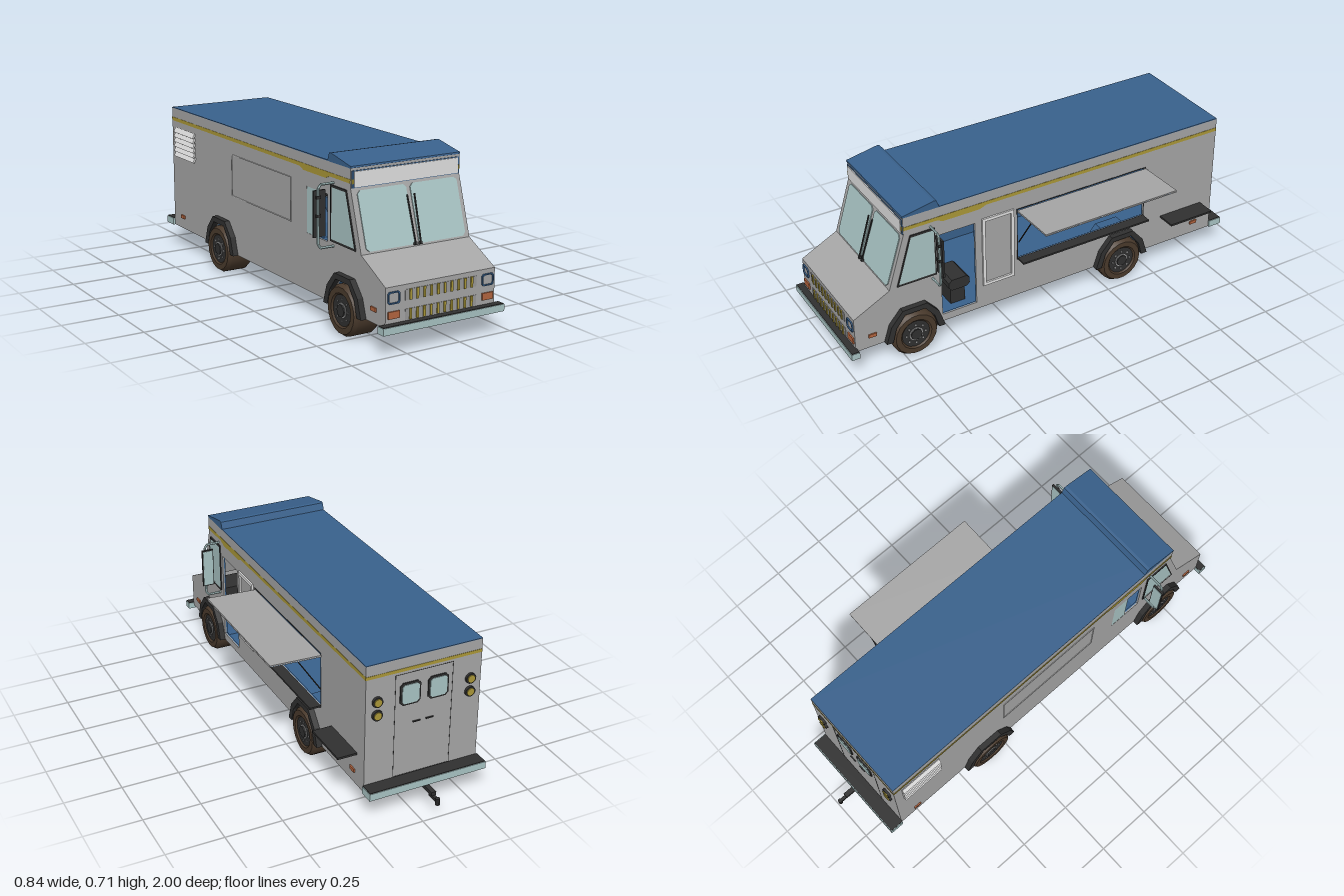
import * as THREE from 'three';
import { toCreasedNormals } from 'three/addons/utils/BufferGeometryUtils.js';

const mat = (name, color) => Object.assign(new THREE.MeshStandardMaterial({ color }), { name });

export function createModel() {
  const grey = mat('body grey', 0xa6a6a6), pale = mat('pale grey', 0xe2e2e2), blue = mat('blue', 0x39618c);
  const glass = mat('pale teal', 0xa9c4c4), black = mat('black', 0x303030), yellow = mat('yellow', 0xab9838);
  const orange = mat('orange', 0xb4653f), brown = mat('tyre brown', 0x4a3a2c), steel = mat('steel grey', 0x989898);

  const root = new THREE.Group();
  const L = -0.33, R = 0.19, C = -0.07;           // body sides and centre line
  const B = -0.85, Y0 = 0.105, Y1 = 0.68;         // body back, bottom and top
  const mirrorX = x => 2 * C - x;

  const add = (name, geo, m, parent = root) => {
    const mesh = new THREE.Mesh(geo, m);
    mesh.name = name;
    parent.add(mesh);
    return mesh;
  };
  const box = (name, m, x0, x1, y0, y1, z0, z1, parent) => {
    const mesh = add(name, new THREE.BoxGeometry(x1 - x0, y1 - y0, z1 - z0), m, parent);
    mesh.position.set((x0 + x1) / 2, (y0 + y1) / 2, (z0 + z1) / 2);
    return mesh;
  };
  const bar = (name, m, a, b, r, sides = 8, r2 = r) => {
    const p = new THREE.Vector3(...a), q = new THREE.Vector3(...b), d = q.clone().sub(p);
    const mesh = add(name, toCreasedNormals(new THREE.CylinderGeometry(r2, r, d.length(), sides), 0.9), m);
    mesh.position.copy(p).add(q).multiplyScalar(0.5);
    mesh.quaternion.setFromUnitVectors(new THREE.Vector3(0, 1, 0), d.normalize());
    return mesh;
  };
  const plate = (pts, depth, holes = []) => {
    const s = new THREE.Shape(pts.map(p => new THREE.Vector2(...p)));
    s.holes = holes.map(h => new THREE.Path(h.map(p => new THREE.Vector2(...p))));
    return new THREE.ExtrudeGeometry(s, { depth, bevelEnabled: false });
  };
  // a (z, y) outline swept from x0 to x1
  const sideways = (name, m, pts, x0, x1, holes) =>
    add(name, plate(pts, x1 - x0, holes).rotateY(-Math.PI / 2).translate(x1, 0, 0), m);
  const rect = (a, b, c, d) => [[a, c], [b, c], [b, d], [a, d]];
  const cut = (a, b, c, d, k) => [[a + k, c], [b - k, c], [b, c + k], [b, d - k], [b - k, d], [a + k, d], [a, d - k], [a, c + k]];
  const scaleAbout = (pts, s) => {
    const cx = pts.reduce((t, p) => t + p[0], 0) / pts.length, cy = pts.reduce((t, p) => t + p[1], 0) / pts.length;
    return pts.map(([x, y]) => [cx + (x - cx) * s, cy + (y - cy) * s]);
  };

  // body shell
  const axles = [-0.342, 0.7];
  const archIn = c => [[-0.108, Y0], [-0.09, 0.17], [-0.047, 0.224], [0.047, 0.224], [0.09, 0.17], [0.108, Y0]].map(([z, y]) => [c + z, y]);
  const archOut = c => [[-0.138, Y0], [-0.112, 0.185], [-0.057, 0.248], [0.057, 0.248], [0.112, 0.185], [0.138, Y0]].map(([z, y]) => [c + z, y]);
  const nose = [[0.968, Y0], [0.968, 0.267], [0.8, 0.353], [0.722, 0.6], [0.722, Y1]];
  const noseBack = [[0.95, Y0], [0.95, 0.258], [0.783, 0.345], [0.707, 0.6], [0.707, Y1]];
  const wall = (front, back) => [[back, Y0], ...archIn(axles[0]), ...archIn(axles[1]), ...front, [back, Y1]];
  const outer = wall(nose, B), inner = wall(noseBack, B + 0.008);
  const hatch = rect(-0.465, 0.19, 0.295, 0.545), doorway = rect(0.395, 0.56, 0.14, 0.545);
  const cabHole = rect(0.395, 0.555, 0.35, 0.545);
  sideways('leftWall', grey, outer, R - 0.006, R, [hatch, doorway]);
  sideways('leftLining', blue, inner, R - 0.012, R - 0.006, [hatch, doorway]);
  sideways('rightWall', grey, outer, L, L + 0.006, [cabHole]);
  sideways('rightLining', blue, inner, L + 0.006, L + 0.012, [cabHole]);
  sideways('frontShell', grey, [...nose, ...noseBack.slice().reverse()], L + 0.006, R - 0.006);
  box('rearWall', grey, L + 0.006, R - 0.006, Y0, Y1, B, B + 0.008);
  box('rearLining', blue, L + 0.012, R - 0.012, 0.115, 0.67, B + 0.008, B + 0.014);
  box('roof', blue, L, R, Y1 - 0.001, Y1 + 0.003, B, 0.722);
  sideways('roofVisor', blue, [[0.726, 0.681], [0.724, 0.688], [0.58, 0.716], [0.567, 0.714], [0.555, 0.681]], L - 0.001, R);

  // floor narrows between the wheel wells
  [[B + 0.008, -0.45, 0], [-0.45, -0.234, 1], [-0.234, 0.592, 0], [0.592, 0.808, 1], [0.808, 0.955, 0]].forEach(([a, b, n]) =>
    box('floor', blue, L + 0.008 + n * 0.105, R - 0.008 - n * 0.105, 0.115, 0.122, a, b));

  // fenders, wells and wheels
  const tyre = toCreasedNormals(new THREE.LatheGeometry([[0.058, -0.05], [0.072, -0.0625], [0.096, -0.0625], [0.107, -0.046],
    [0.107, 0.046], [0.096, 0.0625], [0.072, 0.0625], [0.058, 0.05], [0.058, -0.05]].map(p => new THREE.Vector2(...p)), 18), 0.5).rotateZ(Math.PI / 2);
  for (const c of axles) for (const s of [1, -1]) {
    const xs = (a, b) => s > 0 ? [a, b] : [mirrorX(b), mirrorX(a)];
    const ring = [...archOut(c), ...archIn(c).reverse()];
    sideways('fender', black, ring, ...xs(R - 0.002, R + 0.025));
    sideways('wheelWell', blue, ring, ...xs(0.085, R - 0.012));
    sideways('wellEnd', blue, archOut(c), ...xs(0.077, 0.085));
    const w = new THREE.Group();
    w.name = 'wheel';
    w.position.set(C - 0.002 + s * 0.225, 0.107, c);
    w.rotation.y = s > 0 ? 0 : Math.PI;
    root.add(w);
    add('tyre', tyre, brown, w);
    const disc = (n, m, r, x0, x1, k = 18) =>
      add(n, toCreasedNormals(new THREE.CylinderGeometry(r, r, x1 - x0, k), 0.6).rotateZ(Math.PI / 2).translate((x0 + x1) / 2, 0, 0), m, w);
    disc('rim', black, 0.066, -0.054, 0.056);
    disc('hub', steel, 0.032, 0.056, 0.059, 12);
    disc('hubCap', black, 0.026, 0.059, 0.065, 10);
    for (let i = 0; i < 8; i++) {
      const a = i * Math.PI / 4;
      const nut = add('wheelNut', new THREE.BoxGeometry(0.006, 0.007, 0.007), steel, w);
      nut.position.set(0.056, Math.cos(a) * 0.045, Math.sin(a) * 0.045);
    }
  }

  // windscreen and wipers, tilted with the front
  const screen = new THREE.Group();
  screen.name = 'windscreen';
  screen.position.set(C, 0.353, 0.8);
  screen.rotation.x = -Math.atan2(0.078, 0.247);
  root.add(screen);
  for (const s of [1, -1]) {
    const a = s > 0 ? 0.012 : -0.235, b = s > 0 ? 0.24 : -0.007;
    add('windscreenPane', plate(cut(a, b, 0.008, 0.248, 0.013), 0.004), glass, screen);
    const wiper = box('wiper', black, -0.0025, 0.0025, 0, 0.195, 0.008, 0.013, screen);
    wiper.position.set(s * 0.015 + 0.004, 0.108, 0.011);
    wiper.rotation.z = s > 0 ? -0.03 : 0.02;
    box('wiperPivot', black, s * 0.012 - 0.001, s * 0.012 + 0.009, 0.004, 0.016, 0, 0.014, screen);
  }

  // sign board, lamps, grille and bumpers
  box('signBorder', blue, -0.326, 0.186, 0.601, 0.67, 0.72, 0.725);
  box('signBoard', pale, -0.317, 0.178, 0.604, 0.667, 0.722, 0.729);
  for (const s of [1, -1]) {
    const x = C + s * 0.2235, e = C + s * 0.252;
    box('stripeEnd', yellow, e - 0.004, e + 0.004, 0.618, 0.636, 0.722, 0.727);
    add('headlampFrame', plate(cut(x - 0.028, x + 0.028, 0.199, 0.248, 0.007), 0.007, [cut(x - 0.023, x + 0.023, 0.204, 0.243, 0.006)]).translate(0, 0, 0.967), blue);
    box('turnSignal', orange, x - 0.026, x + 0.026, 0.141, 0.17, 0.966, 0.974);
  }
  for (const y of [0.204, 0.126]) {
    box('grillePanel', steel, -0.24, 0.098, y, y + 0.043, 0.966, 0.97);
    for (let i = 0; i < 10; i++) {
      const x = -0.216 + i * 0.0323;
      box('grilleBar', yellow, x - 0.005, x + 0.005, y, y + 0.043, 0.966, 0.974);
    }
  }
  box('frontBumper', glass, -0.36, 0.218, 0.09, 0.119, 0.962, 1);
  box('frontBumperTop', black, -0.357, 0.215, 0.118, 0.122, 0.964, 0.997);
  box('rearBumper', glass, -0.34, 0.197, 0.104, 0.136, -0.915, B);
  box('rearBumperTop', black, -0.337, 0.194, 0.135, 0.139, -0.912, B);

  // stripes, cab windows, markers and mirrors on both sides
  const stripe = [[B, 0.62], [0.34, 0.62], [0.37, 0.608], [0.54, 0.608], [0.57, 0.62], [0.722, 0.62], [0.722, 0.636], [B, 0.636]];
  const pane = [[0.765, 0.36], [0.582, 0.36], [0.582, 0.59], [0.695, 0.59]];
  for (const s of [1, -1]) {
    const xs = (a, b) => s > 0 ? [a, b] : [mirrorX(b), mirrorX(a)];
    sideways('sideStripe', yellow, stripe, ...xs(R - 0.001, R + 0.0015));
    sideways('cabWindowFrame', black, pane, ...xs(R - 0.001, R + 0.005), [scaleAbout(pane, 0.92)]);
    sideways('cabWindow', glass, scaleAbout(pane, 0.93), ...xs(R - 0.001, R + 0.003));
    for (const z of [0.89, -0.755]) box('sideMarker', orange, ...xs(R - 0.001, R + 0.006), 0.155, 0.171, z - 0.018, z + 0.018);
    const path = [[0.188, 0.6], [0.25, 0.6], [0.262, 0.585], [0.262, 0.36], [0.25, 0.343], [0.188, 0.343]]
      .map(([x, y]) => [s > 0 ? x : mirrorX(x), y, 0.6]);
    for (let i = 0; i < 5; i++) bar('mirrorBracket', glass, path[i], path[i + 1], 0.0055, 6);
    const y0 = s > 0 ? 0.397 : 0.387;
    box('mirror', black, ...xs(0.226, 0.28), y0, 0.577, 0.587, 0.596);
    box('mirrorGlass', glass, ...xs(0.23, 0.276), y0 + 0.005, 0.572, 0.585, 0.588);
    for (const y of [0.475, 0.55]) box('mirrorClamp', black, ...xs(0.252, 0.272), y - 0.006, y + 0.006, 0.594, 0.607);
  }
  box('rightSlidingPane', glass, L + 0.001, L + 0.009, 0.35, 0.545, 0.395, 0.475);

  // serving hatch: grey outside, blue lining and a thin frame beneath
  const awning = new THREE.Group();
  awning.name = 'awning';
  awning.position.set(R, 0.536, 0);
  awning.rotation.z = 0.035;
  root.add(awning);
  box('awningPanel', grey, 0, 0.229, 0, 0.004, -0.47, 0.19, awning);
  box('awningLining', blue, 0.001, 0.228, -0.0015, 0, -0.469, 0.189, awning);
  for (const z of [-0.463, 0.183]) {
    box('awningRib', grey, 0, 0.229, -0.005, -0.001, z - 0.006, z + 0.006, awning);
    bar('awningStrut', black, [R + 0.002, 0.38, z * 1.01], [0.295, 0.536, z], 0.003, 6);
  }
  for (const x of [0.006, 0.223]) box('awningRail', grey, x - 0.006, x + 0.006, -0.005, -0.001, -0.469, 0.189, awning);
  sideways('hatchFrame', black, rect(-0.468, 0.193, 0.292, 0.548), R - 0.001, R + 0.002, [hatch]);
  box('servingCounter', black, R, 0.24, 0.291, 0.299, -0.465, 0.19);
  box('sideShelf', black, R, 0.277, 0.249, 0.258, -0.79, -0.565);
  sideways('slidingDoorFrame', pale, rect(0.21, 0.363, 0.218, 0.556), R, R + 0.008, [rect(0.224, 0.349, 0.232, 0.542)]);

  // right side panel and louvres
  sideways('sidePanelSeam', pale, rect(-0.25, 0.27, 0.37, 0.56), L - 0.003, L, [rect(-0.247, 0.267, 0.373, 0.557)]);
  for (let i = 0; i < 6; i++) {
    const slat = box('louvre', pale, -0.004, 0.004, -0.013, 0.013, -0.1, 0.1);
    slat.position.set(L - 0.006, 0.465 + i * 0.023, -0.71);
    slat.rotation.z = -0.45;
  }

  // rear doors, windows and lamps
  const back = (name, m, pts, depth, holes) => add(name, plate(pts, depth, holes).translate(0, 0, B - depth), m);
  back('rearDoorSeam', black, rect(-0.2, 0.06, 0.14, 0.61), 0.001, [rect(-0.198, 0.058, 0.142, 0.608)]);
  box('rearStripe', yellow, L, R, 0.621, 0.635, B - 0.0015, B + 0.001);
  for (const s of [1, -1]) {
    const x = C + s * 0.063, lx = C + s * 0.21;
    back('rearWindowFrame', black, cut(x - 0.046, x + 0.046, 0.467, 0.568, 0.013), 0.005);
    back('rearWindow', glass, cut(x - 0.038, x + 0.038, 0.475, 0.56, 0.01), 0.008);
    box('rearHandle', black, C + s * 0.03 - 0.017, C + s * 0.03 + 0.017, 0.378, 0.383, B - 0.005, B);
    for (const y of [0.455, 0.515]) {
      bar('rearLampRim', black, [lx, y, B], [lx, y, B - 0.011], 0.023, 14);
      bar('rearLamp', yellow, [lx, y, B - 0.005], [lx, y, B - 0.015], 0.017, 14);
    }
  }

  // cab interior
  box('seatBase', black, 0.03, 0.12, 0.12, 0.21, 0.415, 0.485);
  add('seatCushion', plate(cut(0.4, 0.5, 0.205, 0.258, 0.014), 0.13).rotateY(-Math.PI / 2).translate(0.14, 0, 0), black);
  bar('steeringColumn', black, [0.07, 0.28, 0.66], [0.07, 0.335, 0.545], 0.01);
  const steering = add('steeringWheel', new THREE.TorusGeometry(0.055, 0.006, 6, 18), black);
  steering.position.set(0.07, 0.34, 0.54);
  steering.rotation.x = 0.5;
  box('dashboard', black, L + 0.02, R - 0.02, 0.27, 0.34, 0.63, 0.76);

  // running gear, exhaust and tow hitch
  for (const z of axles) bar('axle', steel, [-0.27, 0.1, z], [0.13, 0.1, z], 0.014);
  bar('driveShaft', steel, [C, 0.105, 0.7], [C, 0.105, -0.34], 0.009);
  bar('differential', steel, [C, 0.092, -0.29], [C, 0.092, -0.4], 0.028, 10, 0.022);
  const muffler = bar('muffler', steel, [-0.085, 0.092, -0.44], [-0.085, 0.092, -0.53], 0.014, 10);
  muffler.scale.x = 4.5;
  const exhaust = [[-0.13, 0.092, -0.52], [-0.14, 0.09, -0.68], [-0.165, 0.082, -0.75], [-0.19, 0.07, -0.83]];
  for (let i = 0; i < 3; i++) bar('exhaustPipe', steel, exhaust[i], exhaust[i + 1], 0.011);
  box('hitchBar', black, C - 0.011, C + 0.011, 0.079, 0.096, -0.96, -0.75);
  box('hitchTongue', black, C - 0.007, C + 0.007, 0.066, 0.08, -0.995, -0.93);
  bar('hitchBall', black, [C, 0.055, -0.99], [C, 0.085, -0.99], 0.01);
  return root;
}
